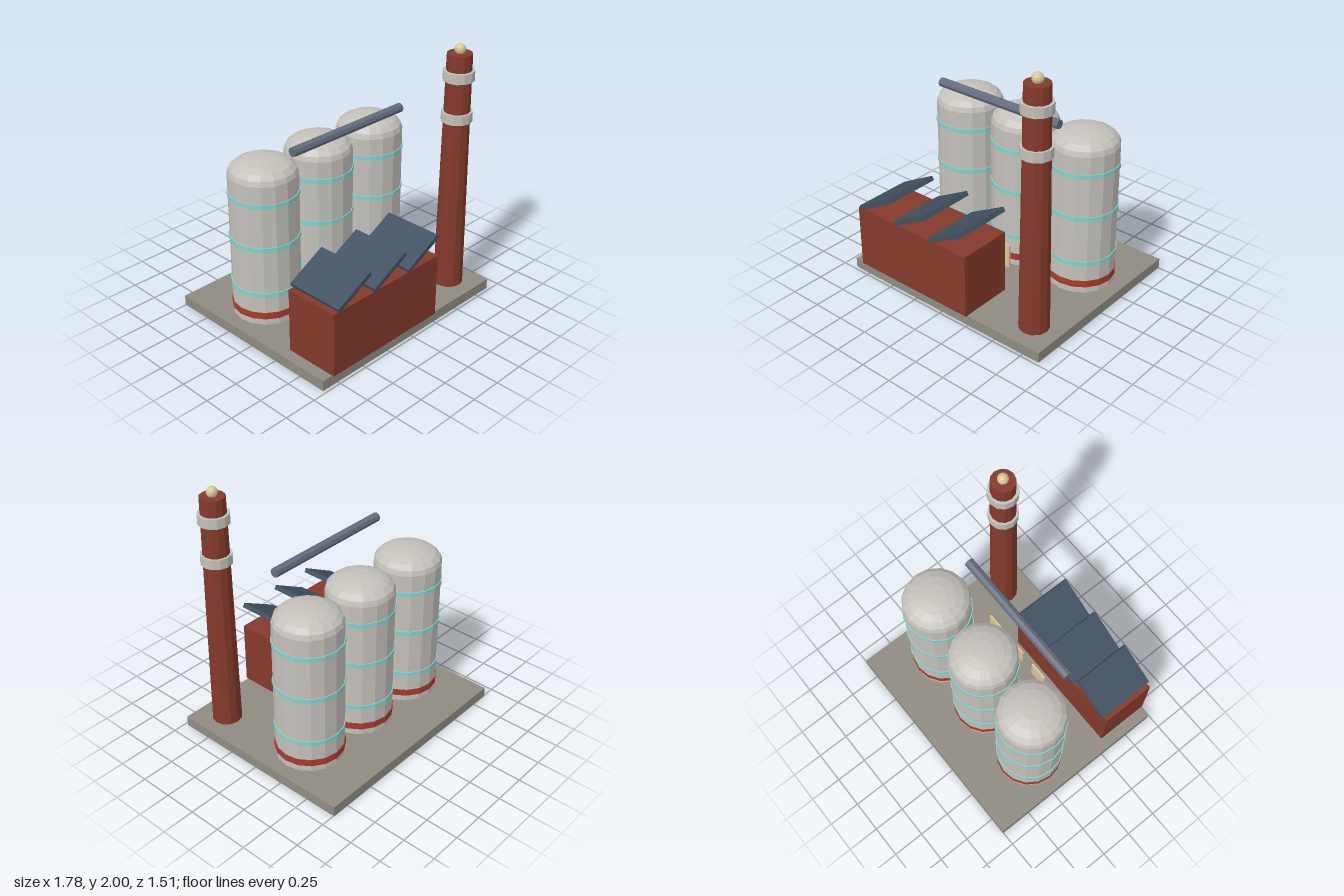
import * as THREE from 'three';

const mat = (name, color) => {
  const m = new THREE.MeshStandardMaterial({ color, flatShading: true });
  m.name = name;
  return m;
};

export function createModel() {
  const concrete = mat('concrete', 0x8f8b81);
  const brick = mat('brick', 0x843a2b);
  const steel = mat('pale steel', 0xc4c1bb);
  const teal = mat('teal', 0x86d2cd);
  const red = mat('red', 0xa83a2d);
  const slate = mat('slate blue', 0x405060);
  const pipeGrey = mat('pipe grey', 0x646c7c);
  const cream = mat('cream', 0xd6c796);

  const model = new THREE.Group();
  model.name = 'factory';

  const add = (parent, name, geometry, material, x, y, z) => {
    const mesh = new THREE.Mesh(geometry, material);
    mesh.name = name;
    mesh.position.set(x, y, z);
    parent.add(mesh);
    return mesh;
  };
  const box = (w, h, d) => new THREE.BoxGeometry(w, h, d);
  const drum = (top, bottom, h, sides) => new THREE.CylinderGeometry(top, bottom, h, sides);

  // Ground slab
  add(model, 'baseSlab', box(1.78, 0.08, 1.48), concrete, 0, 0.04, -0.015);

  // Brick hall with three tilted roof panels
  add(model, 'hall', box(1.05, 0.495, 0.43), brick, -0.278, 0.3275, 0.525);
  for (let i = 0; i < 3; i++) {
    const panel = add(model, 'roofPanel', box(0.34, 0.035, 0.46), slate, -0.614 + i * 0.345, 0.67, 0.523);
    panel.rotation.z = 0.49;
  }

  // Storage tanks with domes, teal hoops and a red foot band
  for (const x of [-0.54, 0, 0.54]) {
    const tank = new THREE.Group();
    tank.name = 'tank';
    tank.position.set(x, 0, -0.215);
    model.add(tank);
    add(tank, 'tankBody', drum(0.253, 0.253, 1.11, 16), steel, 0, 0.635, 0);
    const dome = new THREE.SphereGeometry(0.253, 16, 5, 0, Math.PI * 2, 0, Math.PI / 2);
    // start the dome facets in line with the body facets
    add(tank, 'tankDome', dome, steel, 0, 1.19, 0).scale.y = 0.48;
    for (const y of [0.33, 0.7, 1.04]) add(tank, 'tankHoop', drum(0.26, 0.26, 0.034, 16), teal, 0, y, 0);
    add(tank, 'tankFootBand', drum(0.258, 0.258, 0.052, 16), red, 0, 0.155, 0);
  }

  // Tapered chimney with two collars and a ball on top
  const chimney = new THREE.Group();
  chimney.name = 'chimney';
  chimney.position.set(0.677, 0, 0.508);
  model.add(chimney);
  add(chimney, 'chimneyShaft', drum(0.092, 0.112, 1.85, 12), brick, 0, 1.005, 0);
  for (const y of [1.46, 1.77]) add(chimney, 'chimneyCollar', drum(0.114, 0.114, 0.075, 12), steel, 0, y, 0);
  add(chimney, 'chimneyBall', new THREE.SphereGeometry(0.041, 12, 8), cream, 0, 1.959, 0);

  // Overhead pipe
  add(model, 'overheadPipe', drum(0.035, 0.035, 1.08, 8), pipeGrey, 0, 1.437, 0.09).rotation.z = Math.PI / 2;

  // Window plates behind the hall
  for (const x of [-0.393, -0.131, 0.131, 0.393]) {
    add(model, 'windowPlate', box(0.148, 0.19, 0.015), cream, x, 0.295, 0.207);
  }

  return model;
}
